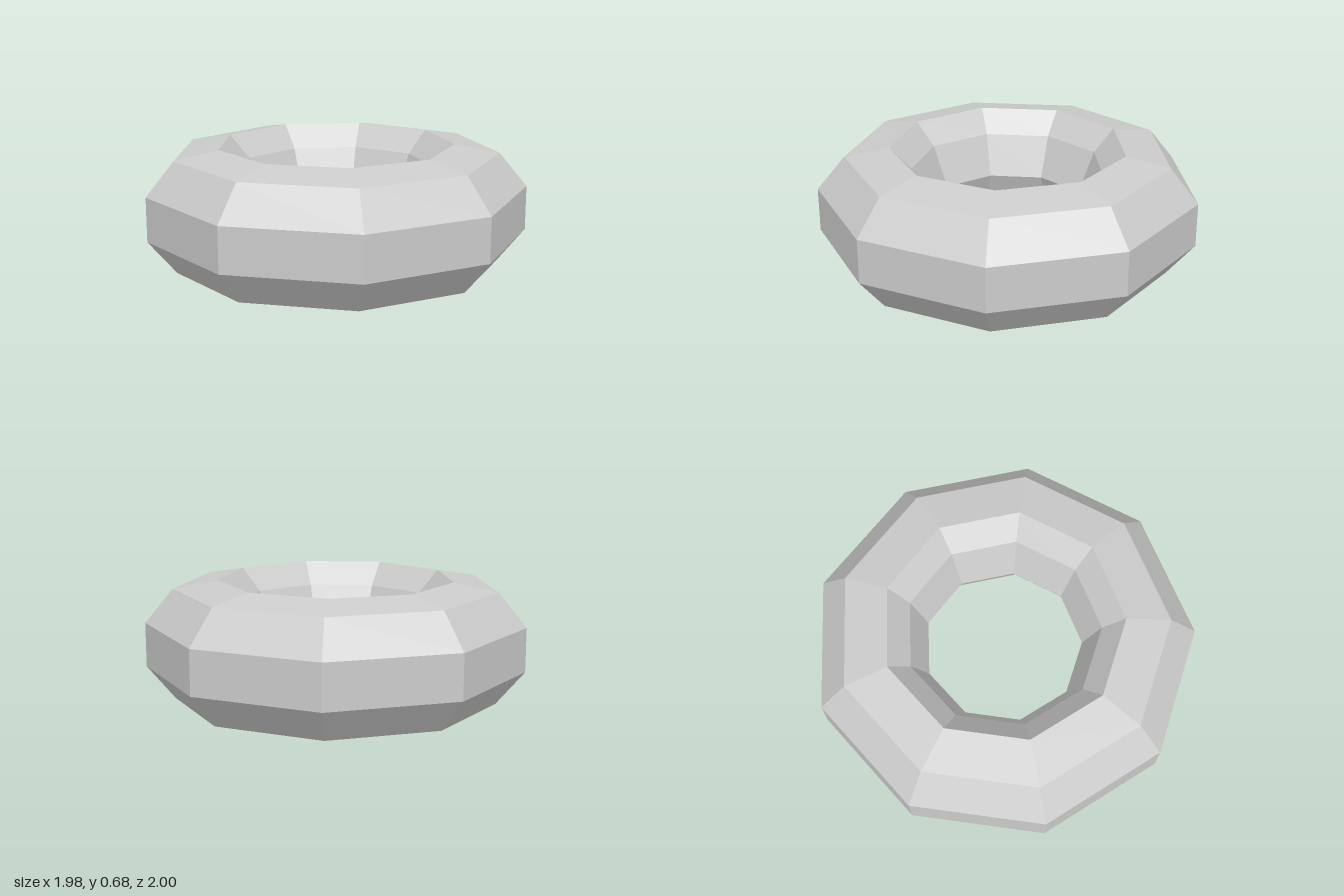
import * as THREE from 'three';

export function createModel() {
  const group = new THREE.Group();
  group.name = 'lowPolyRing';

  const midY = 0.342;
  // Upper half of the nine-sided section, outer rim to inner waist: [radius, height above middle]
  const upper = [[1.016, 0.118], [0.867, 0.298], [0.631, 0.342], [0.515, 0.221], [0.425, 0]];
  const lower = upper.slice(0, 4).map(([r, h]) => [r, -h]);

  // Closed loop: inner waist, underside, outer rim, top, back to the waist
  const loop = [upper[4], ...lower.reverse(), ...upper];
  const profile = loop.map(([r, h]) => new THREE.Vector2(r, midY + h));

  // Nine segments around, turned slightly off the x axis
  const geometry = new THREE.LatheGeometry(profile, 9, THREE.MathUtils.degToRad(88.4));
  const material = new THREE.MeshStandardMaterial({ color: 0xcccccc, flatShading: true });
  const ring = new THREE.Mesh(geometry, material);
  ring.name = 'ring';
  // Centre the bounds of the odd-sided ring
  ring.position.set(-0.026, 0, -0.005);
  group.add(ring);

  return group;
}
